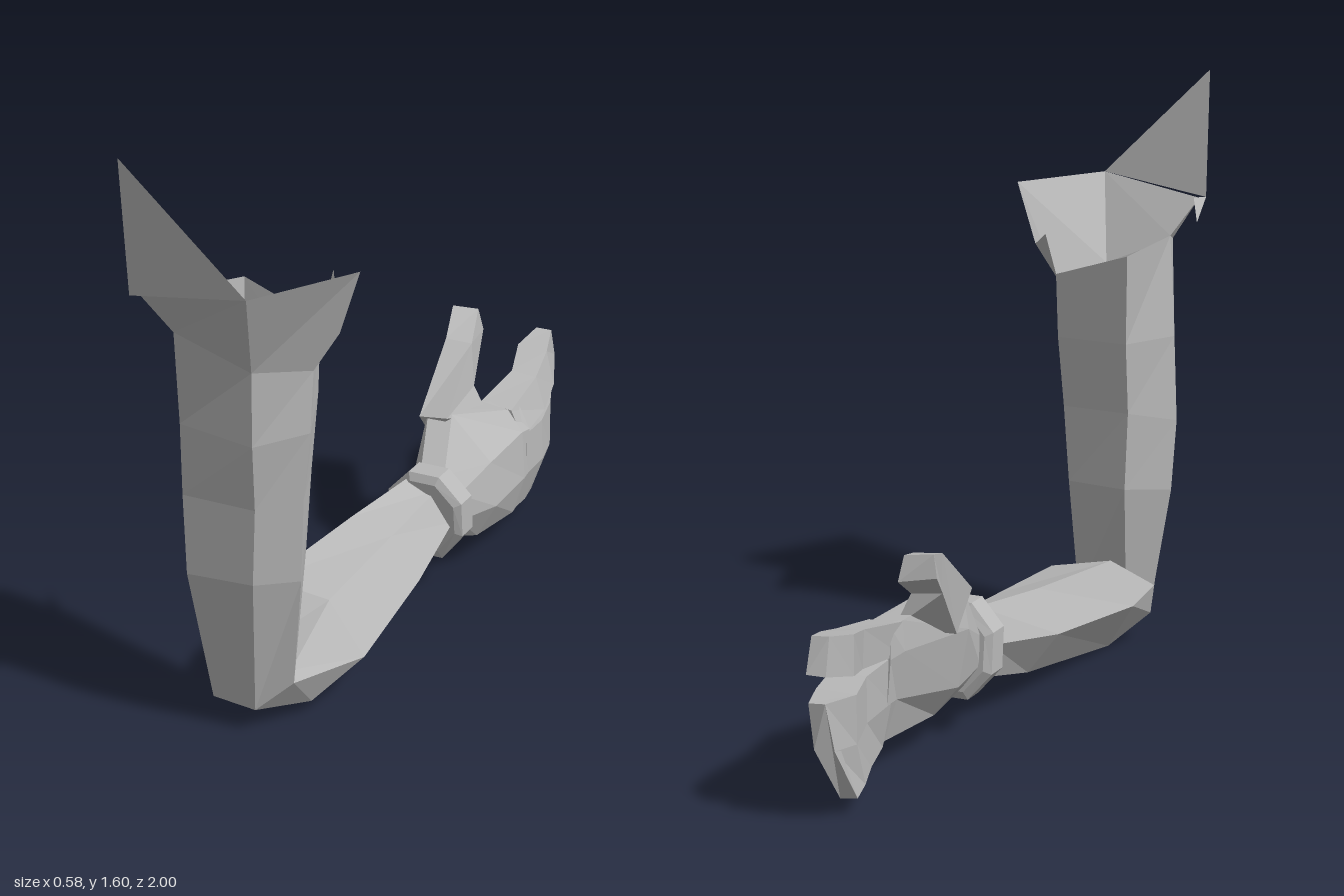
import * as THREE from 'three';

const grey = new THREE.MeshStandardMaterial({ color: 0xb8b8b8, flatShading: true, side: THREE.DoubleSide });
grey.name = 'plain grey';

// Flat-faced mesh from a list of polygons, each a list of [x, y, z] corners.
function facets(name, polygons) {
  const pos = [];
  for (const p of polygons)
    for (let i = 1; i < p.length - 1; i++) pos.push(...p[0], ...p[i], ...p[i + 1]);
  const g = new THREE.BufferGeometry();
  g.setAttribute('position', new THREE.Float32BufferAttribute(pos, 3));
  g.computeVertexNormals();
  const mesh = new THREE.Mesh(g, grey);
  mesh.name = name;
  return mesh;
}

// Skin a run of cross-sections, optionally closing the ends.
function loft(name, rings, capStart = false, capEnd = false) {
  const faces = [];
  for (let r = 0; r < rings.length - 1; r++) {
    const a = rings[r], b = rings[r + 1], n = a.length;
    for (let i = 0; i < n; i++) {
      const j = (i + 1) % n;
      faces.push([a[i], a[j], b[j], b[i]]);
    }
  }
  if (capStart) faces.push([...rings[0]].reverse());
  if (capEnd) faces.push(rings[rings.length - 1]);
  return facets(name, faces);
}

// Upright cross-section at one z.
const at = (z, ...xy) => xy.map(([x, y]) => [x, y, z]);

export function createModel() {
  const arm = new THREE.Group();
  arm.name = 'bentArm';

  // Upper arm: front left, front right, right, back right, back left, left
  const elbow = [[-.12, .08, .71], [0, .07, .71], [.09, .15, .67], [.06, .16, .63], [-.08, .16, .62], [-.15, .18, .66]];
  const shoulder = [[-.11, 1.14, .87], [.08, 1.06, .84], [.17, 1.03, .70], [.1, 1.08, .53], [-.12, 1.15, .51], [-.17, 1.18, .70]];
  arm.add(loft('upperArm', [
    elbow,
    [[-.14, .46, .79], [.045, .47, .79], [.13, .46, .70], [.08, .48, .58], [-.1, .48, .555], [-.19, .46, .68]],
    [[-.14, .68, .80], [.06, .68, .80], [.145, .69, .71], [.09, .7, .565], [-.11, .7, .55], [-.2, .66, .69]],
    [[-.13, .88, .82], [.07, .86, .825], [.165, .87, .71], [.1, .9, .545], [-.11, .9, .53], [-.19, .9, .69]],
    shoulder,
  ]));

  // Torn flaring rim at the shoulder
  const [fl, fr, r, br, , l] = shoulder;
  const rimLeft = [-.165, 1.25, .93], rimFront = [.14, 1.3, .965], rimRight = [.29, 1.3, .69];
  const rimSide = [.23, 1.13, .68], rimBack = [.11, 1.2, .48];
  arm.add(facets('shoulderRim', [
    [fl, fr, rimFront], [fl, rimFront, rimLeft],
    [fr, r, rimRight], [fr, rimRight, rimFront], [r, rimSide, rimRight],
    [r, br, rimBack], [r, rimBack, rimSide],
    [l, fl, rimLeft],
  ]));
  arm.add(facets('shoulderSpike', [[[-.178, 1.25, .95], rimFront, [-.165, 1.605, 1]]]));
  arm.add(facets('shoulderSliver', [[[-.178, 1.25, .95], [-.16, 1.255, .9], [-.29, 1.243, .59]]]));

  // Forearm: top left, top right, right, bottom right, bottom left, left
  const [eFL, eFR, eR, eBR, eBL, eL] = elbow;
  arm.add(loft('forearm', [
    [eBL, eBR, eR, eFR, eFL, eL],
    [[-.1, .3, .46], [.07, .27, .44], [.17, .13, .44], [.08, .04, .56], [-.04, .005, .59], [-.16, .17, .48]],
    at(.08, [-.05, .32], [.07, .29], [.15, .175], [.07, .09], [-.02, .08], [-.11, .2]),
    at(-.19, [0, .34], [.07, .305], [.12, .22], [.08, .15], [0, .145], [-.04, .24]),
  ]));

  // Slightly tilted wrist band with bevelled rims
  const bandShape = [[0, .36], [.09, .36], [.155, .29], [.155, .19], [.09, .105], [0, .105], [-.065, .18], [-.065, .29]];
  const bandRing = (z, s) => bandShape.map(([x, y]) => [
    .045 + (x - .045) * s, .235 + (y - .235) * s, z + (y - .235) * .1]);
  arm.add(loft('wristBand', [bandRing(-.165, .82), bandRing(-.175, 1), bandRing(-.24, 1), bandRing(-.252, .82)], true, true));

  // Palm
  arm.add(loft('palm', [
    at(-.24, [0, .34], [.07, .33], [.115, .28], [.115, .2], [.07, .145], [.01, .145], [-.03, .2], [-.03, .28]),
    at(-.37, [-.04, .46], [.03, .45], [.15, .33], [.168, .2], [.11, .097], [.04, .095], [-.03, .18], [-.06, .34]),
    at(-.57, [.025, .41], [.11, .4], [.155, .34], [.165, .2], [.13, .085], [.08, .085], [.045, .2], [.02, .33]),
    at(-.62, [.035, .405], [.12, .4], [.155, .33], [.158, .2], [.12, .08], [.07, .08], [.045, .2], [.035, .32]),
  ], true, true));

  // Thumb
  arm.add(loft('thumb', [
    [[-.055, .44, -.34], [.03, .45, -.34], [.06, .38, -.55], [-.05, .34, -.42]],
    [[-.075, .59, -.55], [0, .585, -.56], [.02, .47, -.535], [-.065, .48, -.53]],
    [[-.12, .63, -.69], [-.05, .625, -.71], [-.04, .56, -.725], [-.128, .57, -.69]],
  ], true, true));

  // Pointing finger
  arm.add(loft('indexFinger', [
    at(-.57, [.025, .407], [.12, .4], [.155, .32], [.035, .32]),
    at(-.75, [.04, .437], [.115, .43], [.145, .335], [.045, .335]),
    at(-.87, [.005, .465], [.095, .46], [.12, .362], [.005, .36]),
    [[.02, .485, -.965], [.065, .483, -.97], [.065, .395, -1], [.02, .39, -.985]],
  ], true, true));

  // Remaining fingers held together and curled inward
  arm.add(loft('otherFingers', [
    at(-.6, [.04, .322], [.155, .322], [.16, .2], [.12, .08], [.07, .08], [.045, .2]),
    [[.045, .31, -.73], [.145, .31, -.73], [.15, .19, -.73], [.11, .065, -.7], [.05, .065, -.7], [.045, .19, -.73]],
    [[.005, .31, -.86], [.115, .31, -.86], [.12, .18, -.85], [.09, .055, -.79], [.02, .055, -.79], [.01, .18, -.85]],
    [[.02, .325, -.99], [.06, .325, -1], [.06, .2, -.975], [.045, .045, -.875], [0, .05, -.87], [.01, .2, -.965]],
  ], true, true));

  return arm;
}
